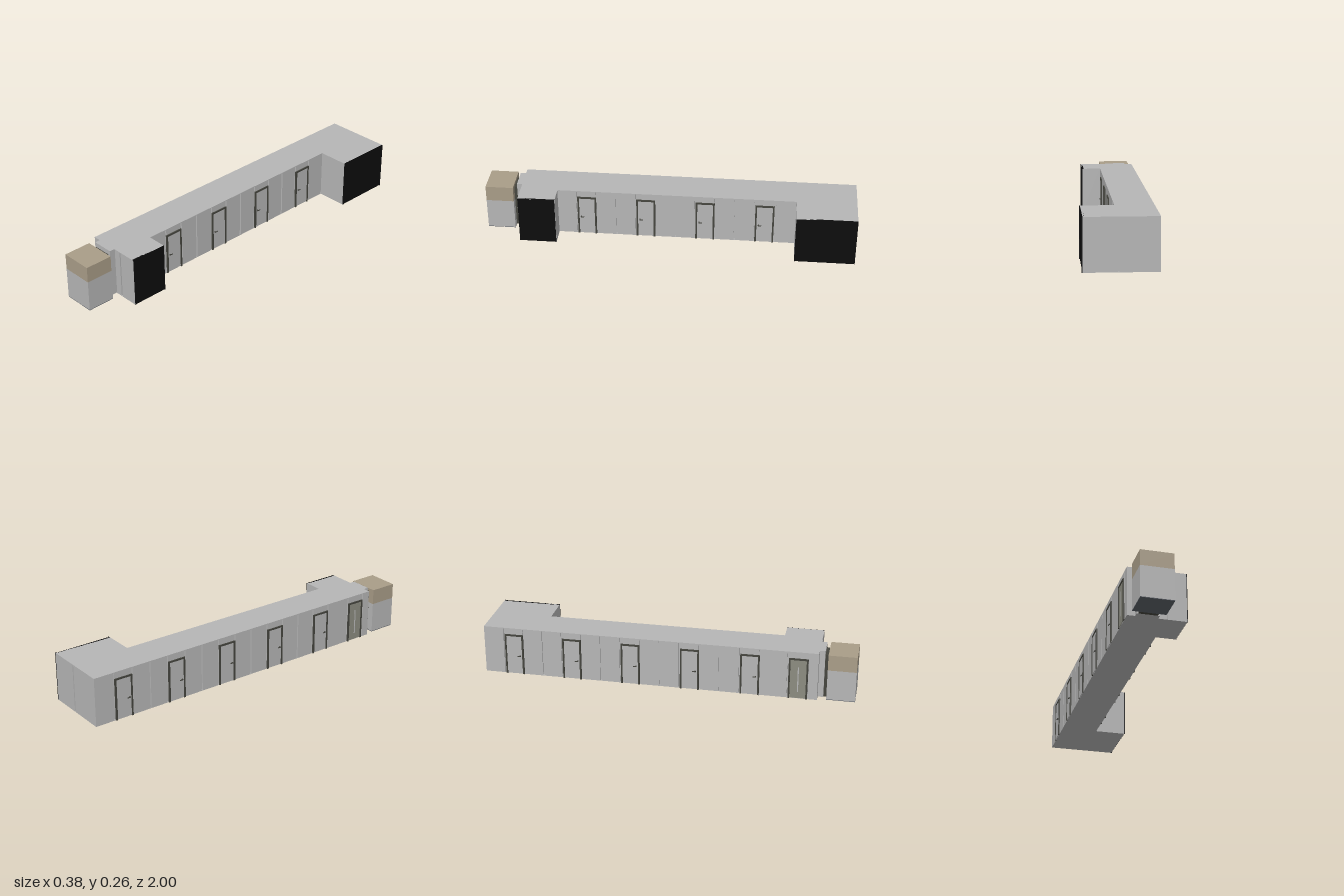
import * as THREE from 'three';

const mat = (name, color) => {
  const m = new THREE.MeshStandardMaterial({ color });
  m.name = name;
  return m;
};

export function createModel() {
  const root = new THREE.Group();
  root.name = 'corridor';
  const grey = mat('wall grey', 0xb6b6b6);
  const tan = mat('tan panel', 0xa99d88);
  const black = mat('black opening', 0x0c0c0c);
  const dark = mat('dark frame', 0x45453e);
  const glass = mat('olive door', 0x8c8c80);
  const base = mat('slate base', 0x5c6169);

  // Box given by its min and max corners
  const box = (name, m, x0, x1, y0, y1, z0, z1, parent = root) => {
    const mesh = new THREE.Mesh(new THREE.BoxGeometry(x1 - x0, y1 - y0, z1 - z0), m);
    mesh.position.set((x0 + x1) / 2, (y0 + y1) / 2, (z0 + z1) / 2);
    mesh.name = name;
    parent.add(mesh);
    return mesh;
  };

  const H = 0.265, L = -0.181, R = 0.017, BACK = 0.185, FRONT = 0.121, T = 0.008;
  const plan = (d) => [
    [L + d, -1 + d], [BACK - d, -1 + d], [BACK - d, -0.68 - d], [R - d, -0.68 - d],
    [R - d, 0.603 + d], [FRONT - d, 0.603 + d], [FRONT - d, 0.803 - d], [L + d, 0.803 - d],
  ];

  // Horizontal slab with the corridor's footprint, inset by d
  const slab = (name, d, y0, y1) => {
    const shape = new THREE.Shape(plan(d).map(([x, z]) => new THREE.Vector2(x, -z)));
    const g = new THREE.ExtrudeGeometry(shape, { depth: y1 - y0, bevelEnabled: false });
    g.rotateX(-Math.PI / 2);
    const mesh = new THREE.Mesh(g, grey);
    mesh.position.y = y0;
    mesh.name = name;
    root.add(mesh);
  };
  slab('floor', 0, 0, 0.004);
  slab('wallCore', T, 0.004, H - 0.004);
  slab('roof', 0, H - 0.004, H);

  // Wall panels separated by narrow grooves
  const y0 = 0.004, y1 = H - 0.004, G = 0.004;
  const panels = (from, to, joints, make) => {
    const cuts = joints.filter((j) => j > from + 0.02 && j < to - 0.02).sort((a, b) => a - b);
    const ends = [from, ...cuts, to];
    for (let i = 0; i < ends.length - 1; i++) {
      make(ends[i] + (i ? G : 0), ends[i + 1] - (i < ends.length - 2 ? G : 0));
    }
  };
  const joints = [];
  for (let k = 0; k < 18; k++) joints.push(0.712 - k * 0.1067);
  const leftJoints = joints.filter((j) => j < 0.6).concat([0.645, 0.755]);
  panels(-1, 0.803, leftJoints, (a, b) => box('outerPanel', grey, L, L + T, y0, y1, a, b));
  panels(-0.68, 0.603, joints, (a, b) => box('innerPanel', grey, R - T, R, y0, y1, a, b));
  panels(L + T, BACK, [0.017], (a, b) => box('endPanel', grey, a, b, y0, y1, -1, -1 + T));
  panels(L + T, FRONT, [-0.14, -0.025, 0.02],
    (a, b) => box('frontPanel', grey, a, b, y0, y1, 0.803 - T, 0.803));
  box('returnPanel', grey, R + 0.004, BACK, y0, y1, -0.68 - T, -0.68);
  box('returnPanel', grey, R + 0.004, FRONT, y0, y1, 0.603, 0.603 + T);

  // Black openings closing the two side wings
  box('backWingOpening', black, BACK - T, BACK + 0.001, 0, H, -0.999, -0.681);
  box('frontWingOpening', black, FRONT - T, FRONT + 0.001, 0, H, 0.604, 0.802);
  for (const z of [-0.998, -0.682]) {
    box('wingPost', black, BACK, BACK + 0.005, 0, H, z - 0.002, z + 0.002);
  }
  for (const z of [0.606, 0.8]) {
    box('wingPost', black, FRONT, FRONT + 0.004, 0, H, z - 0.002, z + 0.002);
  }

  // Framed door facing +x, with its handle
  const door = (x, z, side, double) => {
    const g = new THREE.Group();
    g.name = double ? 'doubleDoor' : 'door';
    const w = 0.051, t = 0.009, top = 0.23, out = 0.006;
    for (const s of [-1, 1]) {
      const c = s * (w - t / 2);
      box('doorJamb', dark, -0.002, out, 0, top, c - t / 2, c + t / 2, g);
    }
    box('doorHead', dark, -0.002, out, top - t, top, -w + t, w - t, g);
    box('doorLeaf', double ? glass : grey, -0.002, 0.003, 0.003, top - t, -w + t, w - t, g);
    if (double) {
      box('doorMullion', grey, 0.003, 0.005, 0.04, 0.18, -0.003, 0.003, g);
    } else {
      const h = 0.032;
      box('handleStem', dark, 0.003, 0.01, 0.104, 0.11, h - 0.003, h + 0.003, g);
      box('handleLever', dark, 0.008, 0.011, 0.105, 0.109, h - 0.016, h + 0.003, g);
    }
    // Turned about for the left-hand wall, keeping handles towards +z
    if (side < 0) {
      g.rotation.y = Math.PI;
      g.children.forEach((c) => { c.position.z *= -1; });
    }
    g.position.set(x, 0, z);
    root.add(g);
  };
  for (let k = 0; k < 5; k++) {
    const z = 0.446 - k * 0.32;
    door(L, z, -1, false);
    if (k < 4) door(R, z, 1, false);
  }
  door(L, 0.7, -1, true);

  // Passage to the lift cabin
  box('passage', grey, -0.14, -0.025, 0, H, 0.795, 0.832);
  box('cabinDoor', dark, -0.132, -0.035, 0, 0.24, 0.832, 0.85);

  // Lift cabin: slate base, grey body and tan upper band
  const cx0 = -0.168, cx1 = 0.003;
  box('cabinBase', base, cx0, cx1, 0, 0.003, 0.85, 1);
  box('cabinBody', grey, cx0, cx1, 0.003, 0.17, 0.85, 1);
  box('cabinTop', tan, cx0, cx1, 0.17, 0.255, 0.85, 1);

  return root;
}
